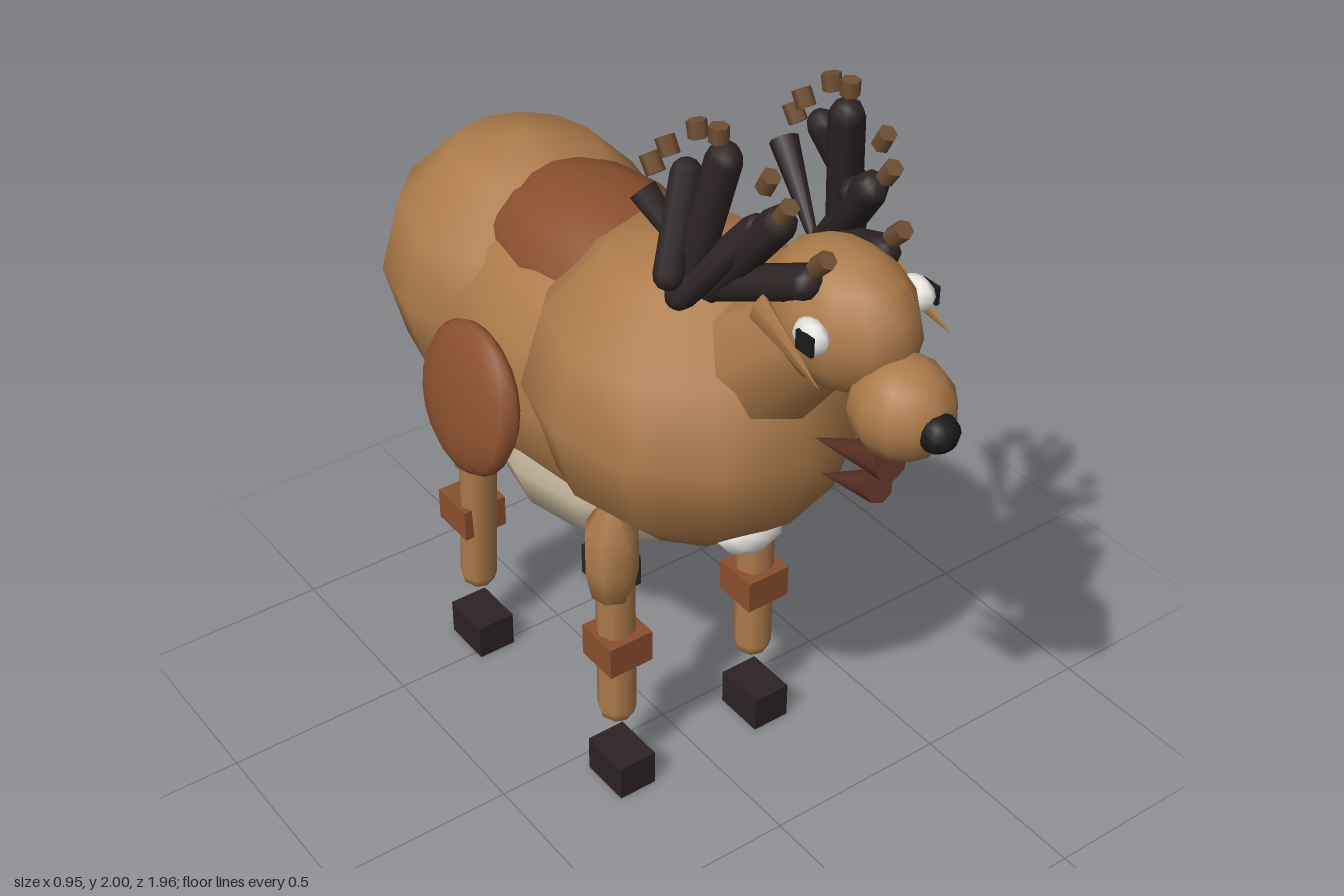
import * as THREE from 'three';

const mat = (name, color) => {
  const m = new THREE.MeshStandardMaterial({ color });
  m.name = name;
  return m;
};
const V = (a) => new THREE.Vector3(...a);

export function createModel() {
  const group = new THREE.Group();
  const tan = mat('tan coat', 0xad7b4a);
  const saddleBrown = mat('saddle brown', 0x8a4f2e);
  const dark = mat('dark horn', 0x2d2324);
  const beardBrown = mat('beard brown', 0x5c3226);
  const tipBrown = mat('tine tip brown', 0x6e4f33);
  const cream = mat('belly cream', 0xcabb9f);
  const white = mat('white', 0xe4e2de);
  const black = mat('black', 0x1b1919);

  const add = (name, geo, material, pos = [0, 0, 0], parent = group) => {
    const m = new THREE.Mesh(geo, material);
    m.name = name;
    m.position.set(...pos);
    parent.add(m);
    return m;
  };
  // Low-poly ellipsoid
  const ball = (name, material, pos, r, w = 12, h = 6) => {
    const m = add(name, new THREE.SphereGeometry(1, w, h), material, pos);
    m.scale.set(...r);
    return m;
  };
  const box = (name, material, pos, s) => add(name, new THREE.BoxGeometry(...s), material, pos);
  // Places a mesh whose +y axis runs from point a to point b
  const aim = (m, a, b) => {
    const d = V(b).sub(V(a));
    m.position.copy(V(a)).addScaledVector(d, 0.5);
    m.quaternion.setFromUnitVectors(new THREE.Vector3(0, 1, 0), d.normalize());
    return m;
  };
  const length = (a, b) => V(a).distanceTo(V(b));
  const capsule = (name, material, a, b, r) =>
    aim(add(name, new THREE.CapsuleGeometry(r, length(a, b), 3, 8), material), a, b);
  const taper = (name, material, a, b, ra, rb, n = 8) =>
    aim(add(name, new THREE.CylinderGeometry(rb, ra, length(a, b), n), material), a, b);

  // Body
  ball('chest', tan, [0, 1.155, 0.12], [0.39, 0.39, 0.43]);
  ball('trunk', tan, [0, 1.08, -0.2], [0.36, 0.37, 0.6], 14, 8);
  ball('hindquarters', tan, [0, 1.12, -0.57], [0.365, 0.38, 0.4]);
  ball('belly', cream, [0, 0.85, -0.17], [0.32, 0.235, 0.4]);
  ball('chestPatch', white, [0, 0.85, 0.345], [0.09, 0.07, 0.06], 8, 6).rotation.x = 0.9;
  ball('saddlePatch', saddleBrown, [0, 1.3, -0.25], [0.245, 0.2, 0.4], 12, 8);
  const tailPath = new THREE.CatmullRomCurve3(
    [[-0.04, 1.11, -0.95], [0, 1.135, -0.967], [0.04, 1.11, -0.95]].map(V));
  add('tail', new THREE.TubeGeometry(tailPath, 6, 0.012, 5), tan);

  // Neck and head
  taper('neck', tan, [0, 1.37, 0.4], [0, 1.53, 0.58], 0.16, 0.115);
  ball('head', tan, [0, 1.6, 0.63], [0.145, 0.165, 0.2], 12, 8);
  ball('muzzle', tan, [0, 1.478, 0.83], [0.113, 0.115, 0.12], 12, 8);
  ball('nose', black, [0, 1.475, 0.942], [0.047, 0.043, 0.043], 10, 8);
  ball('jaw', saddleBrown, [0, 1.4, 0.77], [0.065, 0.04, 0.07], 8, 6);
  taper('upperBeard', beardBrown, [0, 1.325, 0.805], [0, 1.24, 0.56], 0.047, 0);
  taper('lowerBeard', beardBrown, [0, 1.24, 0.775], [0, 1.16, 0.59], 0.04, 0);

  for (const s of [1, -1]) {
    const p = (x, y, z) => [x * s, y, z];

    // Side pack, leaning in at the top
    const pack = ball('sidePack', saddleBrown, p(0.41, 1.08, -0.205), [0.055, 0.188, 0.195], 12, 12);
    pack.rotation.z = 0.2 * s;

    // Eye and ear
    ball('eye', white, p(0.14, 1.632, 0.7), [0.03, 0.04, 0.05], 8, 6);
    box('pupil', black, p(0.166, 1.632, 0.712), [0.009, 0.044, 0.05]);
    const ear = taper('ear', tan, p(0.165, 1.637, 0.56), p(0.175, 1.555, 0.775), 0.045, 0, 6);
    ear.scale.x = 0.45;

    // Fan-shaped antler
    capsule('antlerBeam', dark, p(0.1, 1.71, 0.63), p(0.15, 1.61, 0.4), 0.04);
    capsule('antlerTine', dark, p(0.12, 1.82, 0.56), p(0.16, 1.61, 0.4), 0.04);
    capsule('antlerTine', dark, p(0.16, 1.92, 0.43), p(0.21, 1.63, 0.38), 0.04);
    capsule('antlerTine', dark, p(0.18, 1.85, 0.33), p(0.26, 1.66, 0.38), 0.035);
    capsule('antlerTine', dark, p(0.13, 1.78, 0.5), p(0.23, 1.6, 0.38), 0.035);
    taper('antlerSpike', dark, p(0.14, 1.57, 0.38), p(0.19, 1.75, 0.19), 0.008, 0.034);
    const tips = [[0.1, 1.775, 0.675], [0.135, 1.87, 0.6], [0.15, 1.925, 0.56], [0.17, 1.98, 0.425],
      [0.175, 1.965, 0.36], [0.18, 1.885, 0.265], [0.19, 1.83, 0.225]];
    for (const [x, y, z] of tips) {
      const lean = (z - 0.42) * 0.07;
      taper('tineTip', tipBrown, p(x, y - 0.018, z - lean), p(x, y + 0.018, z + lean), 0.022, 0.022, 6);
    }

    // Front leg
    const thigh = (pts) => new THREE.LatheGeometry(pts.map(([r, y]) => new THREE.Vector2(r, y)), 7);
    add('frontUpperLeg', thigh([[0, 0.56], [0.052, 0.6], [0.067, 0.68], [0.066, 0.8], [0, 0.92]]),
      tan, p(0.225, 0, 0.1));
    capsule('frontLowerLeg', tan, p(0.215, 0.65, 0.1), p(0.215, 0.235, 0.1), 0.05);
    box('frontLegBand', saddleBrown, p(0.213, 0.437, 0.103), [0.125, 0.09, 0.122]);
    box('frontHoof', dark, p(0.215, 0.05, 0.118), [0.106, 0.1, 0.142]);

    // Hind leg
    const hind = add('hindUpperLeg',
      thigh([[0, -0.2], [0.06, -0.15], [0.078, -0.04], [0.088, 0.04], [0, 0.17]]), tan, p(0.225, 0.76, -0.555));
    hind.rotation.x = -0.17;
    hind.scale.x = 0.8;
    capsule('hindLowerLeg', tan, p(0.215, 0.65, -0.52), p(0.215, 0.235, -0.553), 0.05);
    box('hindLegBand', saddleBrown, p(0.213, 0.437, -0.57), [0.125, 0.09, 0.13]);
    box('hindHoof', dark, p(0.215, 0.05, -0.547), [0.106, 0.1, 0.142]);
  }
  return group;
}
